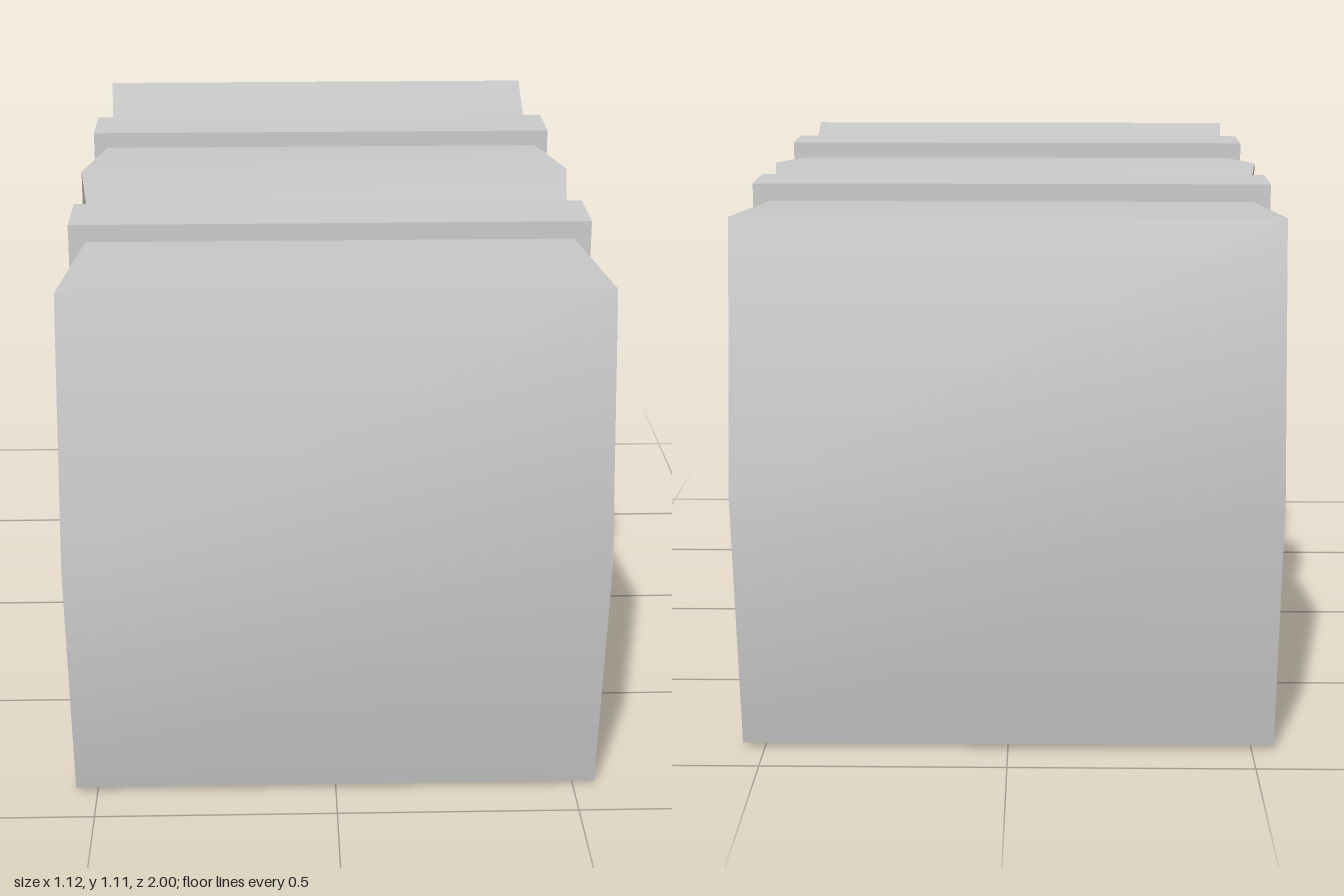
import * as THREE from 'three';
import { toCreasedNormals } from 'three/addons/utils/BufferGeometryUtils.js';

const CENTRE_Y = 0.555;   // height of the long axis
const BAND_Z = 0.392;     // distance of each band from the middle
const WAIST = 0.512;      // half-width of the body under a band
const END = 0.545;        // half-width at the outer ends
const SHOULDER_Z = 0.9;   // where the pointed ends begin

const material = new THREE.MeshStandardMaterial({ color: 0xcccccc });

// Move every vertex of a geometry by a rule, keeping only sharp creases
function reshape(geometry, rule) {
  const p = geometry.attributes.position;
  const v = new THREE.Vector3();
  for (let i = 0; i < p.count; i++) {
    rule(v.fromBufferAttribute(p, i));
    p.setXYZ(i, v.x, v.y, v.z);
  }
  return toCreasedNormals(geometry, 0.5);
}

export function createModel() {
  const model = new THREE.Group();
  model.name = 'bandedBlock';

  function add(name, geometry, z = 0, turn = 0) {
    const mesh = new THREE.Mesh(geometry, material);
    mesh.name = name;
    mesh.position.set(0, CENTRE_Y, z);
    mesh.rotation.y = turn;
    model.add(mesh);
  }

  // Middle section, swelling softly between the bands
  add('middleBody', reshape(new THREE.BoxGeometry(2, 2, 2 * BAND_Z, 1, 1, 2), (v) => {
    const bulging = Math.abs(v.z) < 0.01;
    v.x *= bulging ? 0.56 : WAIST;
    v.y *= bulging ? 0.543 : WAIST;
  }));

  // End section: flares outward, then comes to a horizontal ridge
  const endGeometry = reshape(new THREE.BoxGeometry(2, 2, 2, 1, 2, 1), (v) => {
    const outer = v.z > 0;
    const ridge = outer && Math.abs(v.y) < 0.01;
    const half = outer ? END : WAIST;
    v.x *= half;
    v.y *= half;
    v.z = ridge ? 1 : outer ? SHOULDER_Z : BAND_Z;
  });
  add('frontEnd', endGeometry, 0, 0);
  add('backEnd', endGeometry, 0, Math.PI);

  // Raised square bands around the two waists
  const bandGeometry = new THREE.BoxGeometry(1.106, 1.11, 0.16);
  add('frontBand', bandGeometry, BAND_Z);
  add('backBand', bandGeometry, -BAND_Z);

  return model;
}
